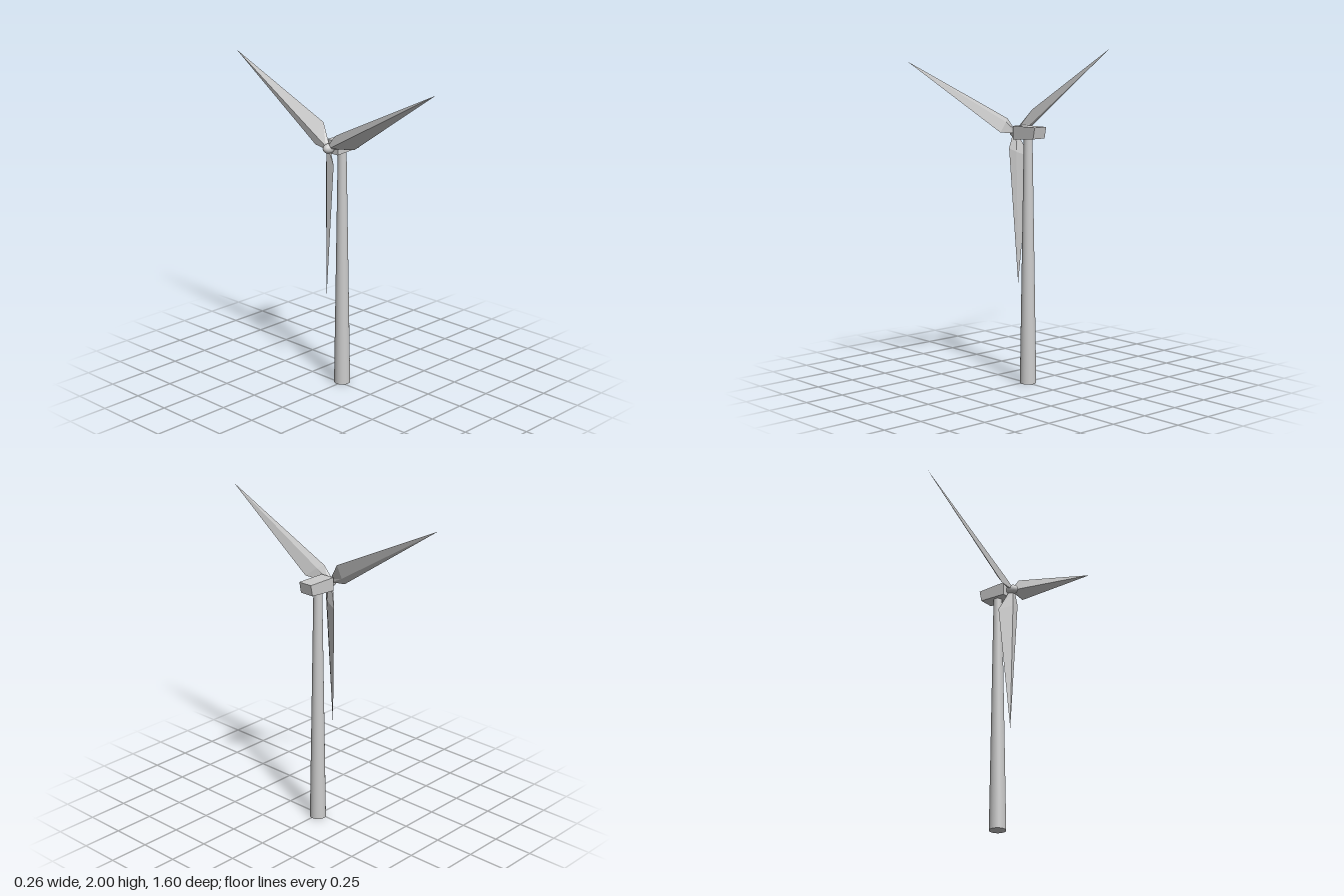
import * as THREE from 'three';

const Z = -0.008, AXIS_Y = 1.52, ROTOR_X = -0.093;

const smooth = () => new THREE.MeshStandardMaterial({ color: 0xcccccc });
const faceted = () => new THREE.MeshStandardMaterial({ color: 0xcccccc, flatShading: true });

function add(parent, name, geometry, material) {
  const mesh = new THREE.Mesh(geometry, material);
  mesh.name = name;
  parent.add(mesh);
  return mesh;
}

// Faceted blade pointing down: diamond root, widest twisted section, pointed tip.
// Each corner is [x, distance along blade, chord offset].
function bladeGeometry() {
  const sections = [
    [[0.012, 0.018, 0.014], [0.012, 0.018, -0.006], [-0.01, 0.022, -0.018], [-0.012, 0.018, 0.004]],
    [[0.048, 0.147, 0.068], [0.022, 0.115, -0.014], [-0.006, 0.092, -0.048], [-0.012, 0.115, 0.004]],
    Array(4).fill([0, 0.923, 0]),
  ];
  const out = [];
  const tri = (...corners) => corners.forEach(([x, r, w]) => out.push(x, -r, -w));
  for (let s = 0; s < 2; s++) {
    const a = sections[s], b = sections[s + 1];
    for (let i = 0; i < 4; i++) {
      const j = (i + 1) % 4;
      tri(a[i], a[j], b[j]);
      if (s === 0) tri(a[i], b[j], b[i]);
    }
  }
  const geometry = new THREE.BufferGeometry();
  geometry.setAttribute('position', new THREE.Float32BufferAttribute(out, 3));
  geometry.computeVertexNormals();
  return geometry;
}

export function createModel() {
  const model = new THREE.Group();
  model.name = 'windTurbine';

  // Tapered tower
  const tower = add(model, 'tower', new THREE.CylinderGeometry(0.026, 0.05, 1.5, 32), smooth());
  tower.position.set(0.02, 0.75, Z);

  // Nacelle: side profile with slanted rear and sloping underside
  const profile = new THREE.Shape([
    new THREE.Vector2(-0.064, 1.481),
    new THREE.Vector2(0.114, 1.494),
    new THREE.Vector2(0.128, 1.563),
    new THREE.Vector2(-0.064, 1.563),
  ]);
  const nacelle = add(model, 'nacelle',
    new THREE.ExtrudeGeometry(profile, { depth: 0.092, bevelEnabled: false }), faceted());
  nacelle.position.z = Z - 0.046;

  // Rotor group, spinning around the x axis
  const rotor = new THREE.Group();
  rotor.name = 'rotor';
  rotor.position.set(ROTOR_X, AXIS_Y, Z);
  model.add(rotor);

  // Rounded spinner, lathe axis turned to point along -x
  const points = [];
  for (let i = 0; i <= 14; i++) {
    const t = (i / 14) * Math.PI * 0.8;
    points.push(new THREE.Vector2(0.03 * Math.sin(t), -0.04 * Math.cos(t)));
  }
  const hub = add(rotor, 'hub', new THREE.LatheGeometry(points, 24), smooth());
  hub.rotation.z = -Math.PI / 2;

  // Three blades
  const geometry = bladeGeometry(), material = faceted();
  for (let i = 0; i < 3; i++) {
    const blade = add(rotor, 'blade' + (i + 1), geometry, material);
    blade.rotation.x = THREE.MathUtils.degToRad(1.3 + 120 * i);
  }
  return model;
}
